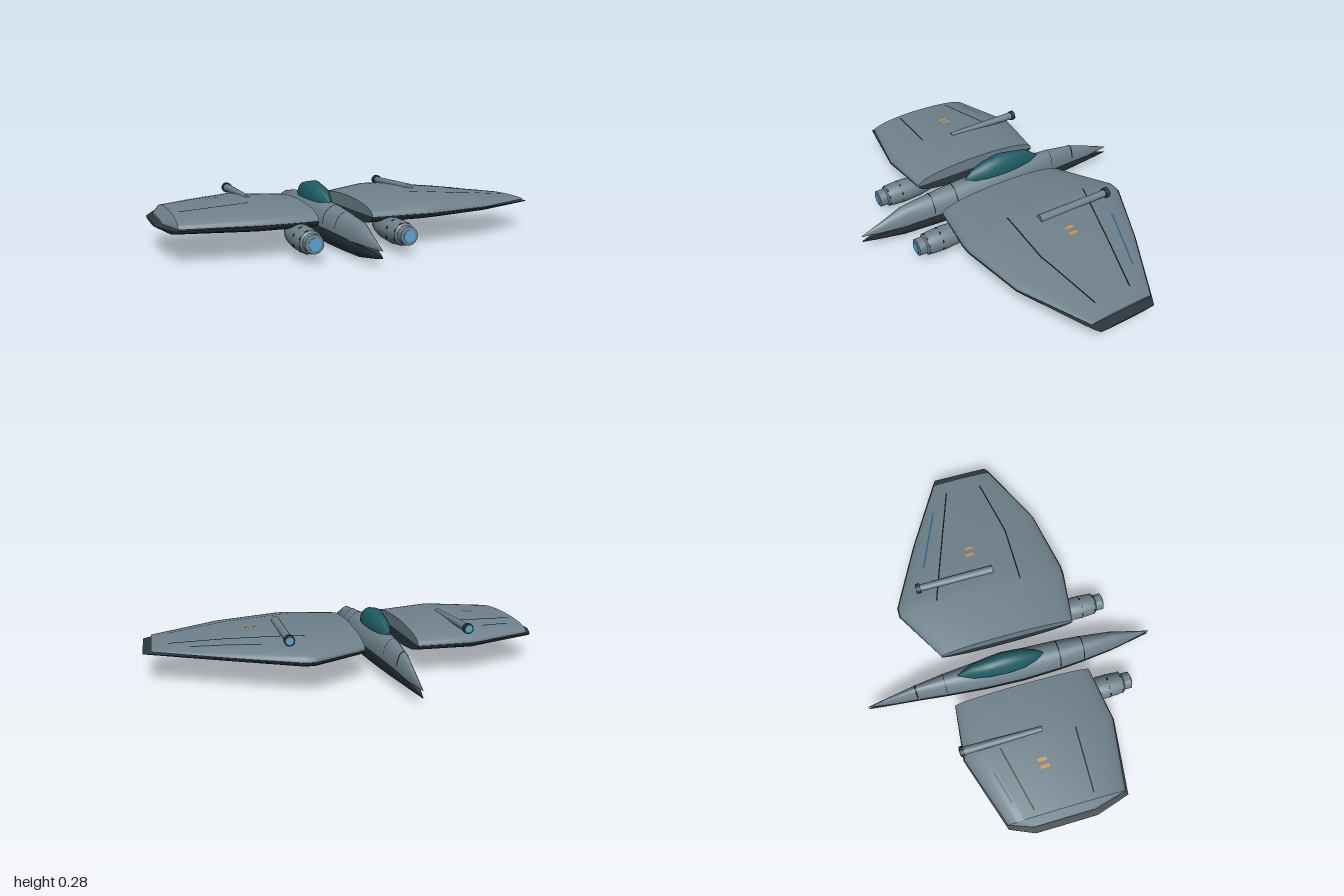
import * as THREE from 'three';
import { toCreasedNormals } from 'three/addons/utils/BufferGeometryUtils.js';

const material = (name, color, side = THREE.FrontSide) => {
  const m = new THREE.MeshStandardMaterial({ color, side });
  m.name = name;
  return m;
};

// Half shell: stations are [position, minEdge, maxEdge, rimY, crownY]
function shellGeometry(stations, alongX, power = 1, n = 20) {
  const pos = [], index = [], ring = n + 1;
  const put = (s, across, y) => (alongX ? pos.push(s, y, across) : pos.push(across, y, s));
  for (const [s, lo, hi, rim, crown] of stations) {
    for (let i = 0; i <= n; i++) {
      const a = Math.PI * i / n;
      const lift = Math.pow(Math.max(0, Math.sin(a)), power);
      put(s, (lo + hi) / 2 + (hi - lo) / 2 * Math.cos(a), rim + (crown - rim) * lift);
    }
  }
  for (let k = 0; k < stations.length - 1; k++) {
    for (let i = 0; i < ring; i++) {
      const a = k * ring + i, b = k * ring + (i + 1) % ring;
      index.push(a, b, a + ring, b, b + ring, a + ring);
    }
  }
  // End caps
  const last = (stations.length - 1) * ring;
  for (let i = 1; i < n; i++) {
    index.push(0, i + 1, i);
    index.push(last, last + i, last + i + 1);
  }
  // Turn all faces outward
  const p = (i) => new THREE.Vector3().fromArray(pos, i * 3);
  const origin = p(0);
  let volume = 0;
  for (let i = 0; i < index.length; i += 3) {
    const [a, b, c] = [0, 1, 2].map((j) => p(index[i + j]).sub(origin));
    volume += a.dot(b.cross(c));
  }
  if (volume < 0) index.reverse();
  const g = new THREE.BufferGeometry();
  g.setAttribute('position', new THREE.Float32BufferAttribute(pos, 3));
  g.setIndex(index);
  return toCreasedNormals(g, 0.6);
}

// Height of a shell at a position along and across it
function shellHeight(stations, s, across, power) {
  let k = 0;
  while (k < stations.length - 2 && s > stations[k + 1][0]) k++;
  const A = stations[k], B = stations[k + 1], t = (s - A[0]) / (B[0] - A[0]);
  const [, lo, hi, rim, crown] = A.map((v, i) => v + (B[i] - v) * t);
  const u = THREE.MathUtils.clamp((across - (lo + hi) / 2) / ((hi - lo) / 2), -1, 1);
  return rim + (crown - rim) * Math.pow(Math.sqrt(1 - u * u), power);
}

// Thin ribbon laid over a surface from (x0,z0) to (x1,z1)
function ribbonGeometry([x0, z0], [x1, z1], width, height, n = 24) {
  const pos = [], index = [], len = Math.hypot(x1 - x0, z1 - z0);
  const nx = -(z1 - z0) / len * width / 2, nz = (x1 - x0) / len * width / 2;
  for (let i = 0; i <= n; i++) {
    const x = x0 + (x1 - x0) * i / n, z = z0 + (z1 - z0) * i / n;
    for (const s of [1, -1]) pos.push(x + s * nx, height(x + s * nx, z + s * nz) + 0.003, z + s * nz);
    if (i < n) index.push(2 * i, 2 * i + 1, 2 * i + 2, 2 * i + 1, 2 * i + 3, 2 * i + 2);
  }
  const g = new THREE.BufferGeometry();
  g.setAttribute('position', new THREE.Float32BufferAttribute(pos, 3));
  g.setIndex(index);
  g.computeVertexNormals();
  return g;
}

export function createModel() {
  const model = new THREE.Group();
  model.name = 'spacecraft';
  const hull = material('hull grey', 0x6f818c);
  const dark = material('underside dark grey', 0x2c383e);
  const glass = material('canopy teal', 0x1d5c64);
  const line = material('panel line black', 0x12181b, THREE.DoubleSide);
  const blue = material('trim blue', 0x2f6688, THREE.DoubleSide);
  const glow = material('glow blue', 0x58a6d8);
  const orange = material('marker orange', 0xd0923c, THREE.DoubleSide);

  const add = (name, geometry, mat, parent = model) => {
    const mesh = new THREE.Mesh(geometry, mat);
    mesh.name = name;
    parent.add(mesh);
    return mesh;
  };

  // Fuselage: upper and lower shells that part at both tips
  const X = -0.165;
  const body = (rows) => rows.map(([z, w, rim, crown]) => [z, X - w, X + w, rim, crown]);
  const upperBody = body([
    [-0.76, 0.001, 0.078, 0.081], [-0.62, 0.02, 0.078, 0.135], [-0.5, 0.034, 0.09, 0.177],
    [-0.35, 0.053, 0.1, 0.198], [-0.15, 0.072, 0.105, 0.205], [0.05, 0.079, 0.1, 0.205],
    [0.25, 0.073, 0.095, 0.196], [0.38, 0.063, 0.09, 0.184], [0.54, 0.045, 0.08, 0.168],
    [0.66, 0.022, 0.075, 0.118], [0.76, 0.001, 0.077, 0.081]]);
  const lowerBody = body([
    [-0.76, 0.001, 0.047, 0.043], [-0.68, 0.014, 0.068, 0.037], [-0.5, 0.036, 0.09, 0.025],
    [-0.35, 0.056, 0.1, 0.017], [-0.15, 0.076, 0.105, 0.008], [0.05, 0.084, 0.1, 0.001],
    [0.25, 0.077, 0.095, 0], [0.38, 0.066, 0.09, 0.001], [0.54, 0.046, 0.08, 0.006],
    [0.68, 0.018, 0.065, 0.028], [0.76, 0.001, 0.05, 0.044]]);
  add('upperFuselage', shellGeometry(upperBody, false), hull);
  add('lowerFuselage', shellGeometry(lowerBody, false), dark);
  for (const [z, w, half] of [[-0.5, 0.008, 0.033], [-0.35, 0.003, 0.051], [0.25, 0.006, 0.072], [0.38, 0.005, 0.062]]) {
    add('fuselageSeam', ribbonGeometry([X - half, z], [X + half, z], w,
      (x, zz) => shellHeight(upperBody, zz, x, 1), 40), line);
  }

  // Canopy
  const canopy = body([
    [-0.28, 0.004, 0.19, 0.2], [-0.2, 0.036, 0.195, 0.258], [-0.12, 0.05, 0.195, 0.272],
    [-0.04, 0.056, 0.195, 0.285], [0.06, 0.05, 0.195, 0.266], [0.13, 0.028, 0.192, 0.238],
    [0.17, 0.004, 0.19, 0.2]]);
  add('canopy', shellGeometry(canopy, false), glass);

  // Wings: pale upper shell, dark lower shell reaching slightly past it
  const P = 0.9;
  const wings = [{
    name: 'leftWing',
    upper: [[-0.03, -0.33, 0.375, 0.15, 0.215], [0.24, -0.485, 0.408, 0.155, 0.235],
      [0.29, -0.485, 0.408, 0.155, 0.235], [0.62, -0.32, 0.352, 0.155, 0.207], [0.96, -0.125, 0.195, 0.154, 0.165]],
    lower: [[-0.03, -0.33, 0.375, 0.15, 0.09], [0.24, -0.49, 0.412, 0.155, 0.094],
      [0.29, -0.49, 0.412, 0.155, 0.096], [0.62, -0.325, 0.355, 0.152, 0.113],
      [0.975, -0.125, 0.198, 0.143, 0.131], [1, -0.11, 0.18, 0.141, 0.134]],
    lines: [[[0.25, -0.28], [0.88, -0.07]], [[0.25, 0.17], [0.55, 0.175]], [[0.55, 0.175], [0.88, 0.12]]],
    trim: [[0.46, -0.3], [0.78, -0.17]],
    marks: [[0.458, -0.047], [0.497, -0.042]],
    gun: [0.34, 0.022, 0.018],
  }, {
    name: 'rightWing',
    upper: [[-0.972, -0.12, 0.185, 0.152, 0.165], [-0.93, -0.235, 0.352, 0.153, 0.205],
      [-0.58, -0.355, 0.408, 0.155, 0.235], [-0.3, -0.33, 0.375, 0.15, 0.215]],
    lower: [[-1, -0.12, 0.19, 0.145, 0.134], [-0.95, -0.238, 0.36, 0.148, 0.112],
      [-0.58, -0.36, 0.412, 0.154, 0.095], [-0.3, -0.33, 0.375, 0.15, 0.09]],
    lines: [[[-0.9, -0.1], [-0.58, -0.175]], [[-0.9, 0.195], [-0.58, 0.205]]],
    trim: [[-0.84, -0.19], [-0.68, -0.235]],
    marks: [[-0.722, 0.007], [-0.687, 0.002]],
    gun: [-0.545, 0.013, 0.021],
  }];
  for (const w of wings) {
    const wing = new THREE.Group();
    wing.name = w.name;
    model.add(wing);
    const top = (x, z) => shellHeight(w.upper, x, z, P);
    add('upperWing', shellGeometry(w.upper, true, P, 32), hull, wing);
    add('lowerWing', shellGeometry(w.lower, true, P, 32), dark, wing);
    w.lines.forEach(([a, b]) => add('panelLine', ribbonGeometry(a, b, 0.007, top), line, wing));
    add('trimLine', ribbonGeometry(w.trim[0], w.trim[1], 0.009, top), blue, wing);
    w.marks.forEach(([x, z]) => add('marker', ribbonGeometry([x, z - 0.022], [x, z + 0.022], 0.015, top, 4), orange, wing));

    // Rear-facing gun lying on the wing
    const [gx, frontRadius, rearRadius] = w.gun;
    const tube = (name, r0, r1, z0, z1, mat) => {
      const g = new THREE.CylinderGeometry(r1, r0, z1 - z0, 20).rotateX(Math.PI / 2);
      add(name, g, mat, wing).position.set(gx, 0.229, (z0 + z1) / 2);
    };
    tube('gunBarrel', rearRadius, frontRadius, -0.35, 0.045, hull);
    tube('muzzleRing', 0.026, 0.026, -0.366, -0.345, dark);
    tube('muzzleGlow', 0.018, 0.018, -0.369, -0.364, glow);
  }

  // Engine pods
  const podProfile = [[0.001, 0.18], [0.022, 0.22], [0.042, 0.28], [0.054, 0.34], [0.06, 0.42],
    [0.058, 0.49], [0.052, 0.525], [0.043, 0.532], [0.043, 0.57], [0.03, 0.573], [0, 0.573]];
  for (const x of [-0.395, 0.062]) {
    const pod = new THREE.Group();
    pod.name = 'enginePod';
    pod.position.set(x, 0.088, 0);
    model.add(pod);
    const lathe = new THREE.LatheGeometry(podProfile.map(([r, z]) => new THREE.Vector2(r, z)), 28);
    add('podBody', toCreasedNormals(lathe.rotateX(Math.PI / 2), 0.6), hull, pod);
    add('podGlow', new THREE.CylinderGeometry(0.029, 0.029, 0.006, 28).rotateX(Math.PI / 2), glow, pod).position.z = 0.573;
    for (let i = 0; i < 8; i++) {
      const a = (i + 0.5) * Math.PI / 4;
      for (const [name, r, z, mat] of [['podVent', 0.059, 0.45, line], ['podLight', 0.054, 0.52, blue]]) {
        const dash = add(name, new THREE.BoxGeometry(0.014, 0.004, 0.006), mat, pod);
        dash.position.set(r * Math.sin(a), r * Math.cos(a), z);
        dash.rotation.z = -a;
      }
    }
  }
  return model;
}
